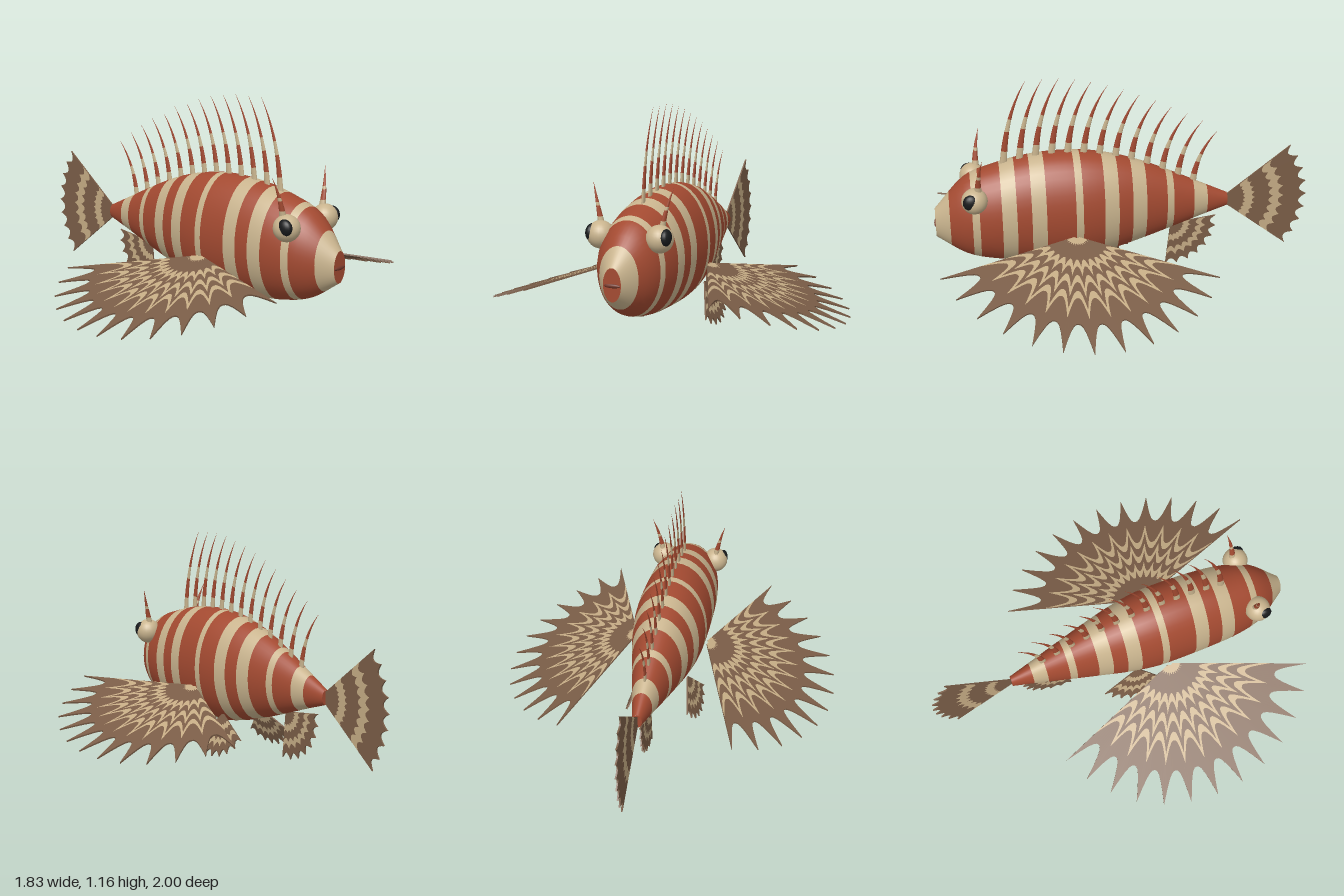
import * as THREE from 'three';

const V = (x, y, z) => new THREE.Vector3(x, y, z);
const paint = (name, color, side = THREE.FrontSide) => {
  const m = new THREE.MeshStandardMaterial({ color, side });
  m.name = name;
  return m;
};

// Skin through equal rings of points; bands[i] is the material index of segment i
function loft(rings, bands, materials, name) {
  const n = rings[0].length, index = [];
  const geo = new THREE.BufferGeometry().setFromPoints(rings.flat());
  bands.forEach((band, i) => {
    geo.addGroup(index.length, n * 6, band);
    for (let j = 0; j < n; j++) {
      const a = i * n + j, b = i * n + (j + 1) % n, c = a + n, d = b + n;
      index.push(a, c, b, b, c, d);
    }
  });
  geo.setIndex(index);
  geo.computeVertexNormals();
  const mesh = new THREE.Mesh(geo, materials);
  mesh.name = name;
  return mesh;
}

// Run lengths of alternating materials, expanded to one entry per segment
const runs = (lengths) => lengths.flatMap((n, i) => Array(n).fill(i % 2));

// Thin fan-shaped fin with pointed rays, scooped webs and bands that follow its margin
function fan({ name, rays, radius, from, to, web, power, edges, first, place, normal, materials }) {
  const faces = [[], []], subs = 10, steps = (rays - 1) * subs;
  const off = normal.clone().normalize().multiplyScalar(0.004);
  const point = (k, f, side) => {
    const t = (k % subs) / subs;
    const r = radius * (web + (1 - web) * Math.abs(2 * t - 1) ** power);
    const a = from + (to - from) * k / steps;
    return place(r * f, a).addScaledVector(off, side);
  };
  const quad = (list, a, b, c, d) => list.push(a, b, c, a, c, d);
  for (let k = 0; k < steps; k++) {
    for (let e = 0; e < edges.length - 1; e++) {
      for (const s of [1, -1]) {
        const q = [point(k, edges[e], s), point(k, edges[e + 1], s),
          point(k + 1, edges[e + 1], s), point(k + 1, edges[e], s)];
        if (s < 0) q.reverse();
        quad(faces[(e + first) % 2], ...q);
      }
    }
    quad(faces[0], point(k, 1, 1), point(k, 1, -1), point(k + 1, 1, -1), point(k + 1, 1, 1));
  }
  for (const k of [0, steps]) {
    quad(faces[0], point(k, edges[0], 1), point(k, 1, 1), point(k, 1, -1), point(k, edges[0], -1));
  }
  const geo = new THREE.BufferGeometry().setFromPoints(faces.flat());
  geo.addGroup(0, faces[0].length, 0);
  geo.addGroup(faces[0].length, faces[1].length, 1);
  geo.computeVertexNormals();
  const mesh = new THREE.Mesh(geo, materials);
  mesh.name = name;
  return mesh;
}

// Curved tapering spine with coloured bands
function spine(name, base, bend, tip, wide, thin, bands, materials) {
  const curve = new THREE.QuadraticBezierCurve3(base, bend, tip), X = V(1, 0, 0), rings = [];
  for (let i = 0; i <= bands.length; i++) {
    const t = i / bands.length, c = curve.getPoint(t), s = Math.max(1 - t, 0.02);
    const N = X.clone().cross(curve.getTangent(t)).normalize();
    rings.push(Array.from({ length: 8 }, (_, j) => {
      const a = j / 8 * Math.PI * 2;
      return c.clone().addScaledVector(X, Math.cos(a) * thin * s).addScaledVector(N, Math.sin(a) * wide * s);
    }));
  }
  return loft(rings, bands, materials, name);
}

export function createModel() {
  const model = new THREE.Group();
  model.name = 'fish';
  const rust = paint('rust', 0xa34a31), cream = paint('cream', 0xc9b48e);
  const finBrown = paint('fin brown', 0x7a5d47, THREE.DoubleSide);
  const finCream = paint('fin cream', 0xc4ab84, THREE.DoubleSide);
  const black = paint('black', 0x17191b), lip = paint('lip', 0x74382a);
  const finColors = [finBrown, finCream];
  const add = (name, geo, mat, pos, scale = [1, 1, 1]) => {
    const m = new THREE.Mesh(geo, mat);
    m.name = name;
    m.position.set(...pos);
    m.scale.set(...scale);
    model.add(m);
    return m;
  };

  // Body: top, bottom and half width at even steps from nose to tail root
  const zNose = 0.99, zTail = -0.56;
  const profile = new THREE.CatmullRomCurve3([
    [0.475, 0.315, 0.045], [0.64, 0.212, 0.148], [0.7, 0.17, 0.185], [0.737, 0.152, 0.195],
    [0.752, 0.145, 0.198], [0.747, 0.15, 0.195], [0.718, 0.178, 0.172], [0.668, 0.222, 0.137],
    [0.6, 0.272, 0.1], [0.525, 0.325, 0.062], [0.45, 0.375, 0.025],
  ].map((p) => V(...p)), false, 'catmullrom', 0.5);
  const section = (z) => profile.getPoint((zNose - z) / (zNose - zTail));
  const stripes = runs([2, 3, 1, 3, 2, 2, 2, 4, 1, 3, 2, 2, 2, 3, 1, 3, 2, 3]);
  const rings = [];
  for (let i = 0; i <= stripes.length; i++) {
    const z = zNose + (zTail - zNose) * i / stripes.length, p = section(z);
    rings.push(Array.from({ length: 40 }, (_, j) => {
      const a = j / 40 * Math.PI * 2;
      return V(p.z * Math.cos(a), (p.x + p.y) / 2 + (p.x - p.y) / 2 * Math.sin(a), z);
    }));
  }
  model.add(loft(rings, stripes, [cream, rust], 'body'));
  add('noseCap', new THREE.CircleGeometry(1, 40), rust, [0, 0.395, zNose], [0.045, 0.08, 1]);
  add('tailRootCap', new THREE.CircleGeometry(1, 24), rust, [0, 0.4125, zTail], [0.025, 0.0375, 1])
    .rotation.y = Math.PI;
  add('mouth', new THREE.SphereGeometry(1, 16, 10), lip, [0, 0.392, 0.99], [0.042, 0.01, 0.008]);

  // Dorsal spines
  const tips = [1.16, 1.16, 1.16, 1.15, 1.135, 1.11, 1.08, 1.05, 1.01, 0.97, 0.925, 0.88, 0.82];
  tips.forEach((top, i) => {
    const z = 0.625 - i * 0.083, y = section(z).x - 0.015, h = top - y;
    model.add(spine('dorsalSpine', V(0, y, z), V(0, y + h * 0.6, z - 0.02), V(0, top, z - 0.13),
      0.019, 0.008, runs([2, 3, 2, 7]), [cream, rust]));
  });

  // Eyes with brow spines, pectoral and pelvic fins on both sides
  for (const s of [1, -1]) {
    add('eye', new THREE.SphereGeometry(0.067, 24, 16), cream, [s * 0.15, 0.58, 0.785]);
    add('pupil', new THREE.SphereGeometry(0.043, 20, 14), black, [s * 0.188, 0.59, 0.802], [0.65, 1, 1]);
    model.add(spine('browSpine', V(s * 0.155, 0.63, 0.765), V(s * 0.175, 0.73, 0.765),
      V(s * 0.207, 0.825, 0.738), 0.019, 0.016, runs([2, 3, 1, 6]), [cream, rust]));

    model.add(fan({
      name: 'pectoralFin', rays: 13, radius: 0.758, from: -1.19, to: 1.19, web: 0.76, power: 2.5,
      edges: [0.02, 0.09, 0.28, 0.36, 0.46, 0.54, 0.64, 0.72, 1], first: 1,
      place: (r, a) => {
        const u = r * Math.cos(a), v = r * Math.sin(a);
        return V(s * (0.195 + u * 0.949), 0.355 - u * 0.316 + v * 0.085, 0.275 + v);
      },
      normal: V(s * 0.33, 1, -0.085), materials: finColors,
    }));

    model.add(fan({
      name: 'pelvicFin', rays: 8, radius: 0.235, from: -0.72, to: 1.08, web: 0.86, power: 2,
      edges: [0.03, 0.3, 0.45, 0.64, 0.78, 1], first: 0,
      place: (r, a) => {
        const down = r * Math.cos(a);
        return V(s * (0.122 + down * 0.37), 0.222 - down * 0.93, 0.12 - r * Math.sin(a));
      },
      normal: V(s * 0.93, 0.37, 0), materials: finColors,
    }));
  }

  // Tail and anal fins on the centre line
  model.add(fan({
    name: 'tailFin', rays: 9, radius: 0.48, from: -0.665, to: 0.665, web: 0.92, power: 2,
    edges: [0.03, 0.3, 0.41, 0.62, 0.74, 1], first: 0,
    place: (r, a) => V(0, 0.41 + r * Math.sin(a), -0.52 - r * Math.cos(a)),
    normal: V(1, 0, 0), materials: finColors,
  }));
  model.add(fan({
    name: 'analFin', rays: 8, radius: 0.25, from: -0.1, to: 1.7, web: 0.87, power: 2,
    edges: [0.03, 0.3, 0.45, 0.64, 0.78, 1], first: 0,
    place: (r, a) => V(0, 0.285 - r * Math.cos(a), -0.255 - r * Math.sin(a)),
    normal: V(1, 0, 0), materials: finColors,
  }));
  return model;
}
